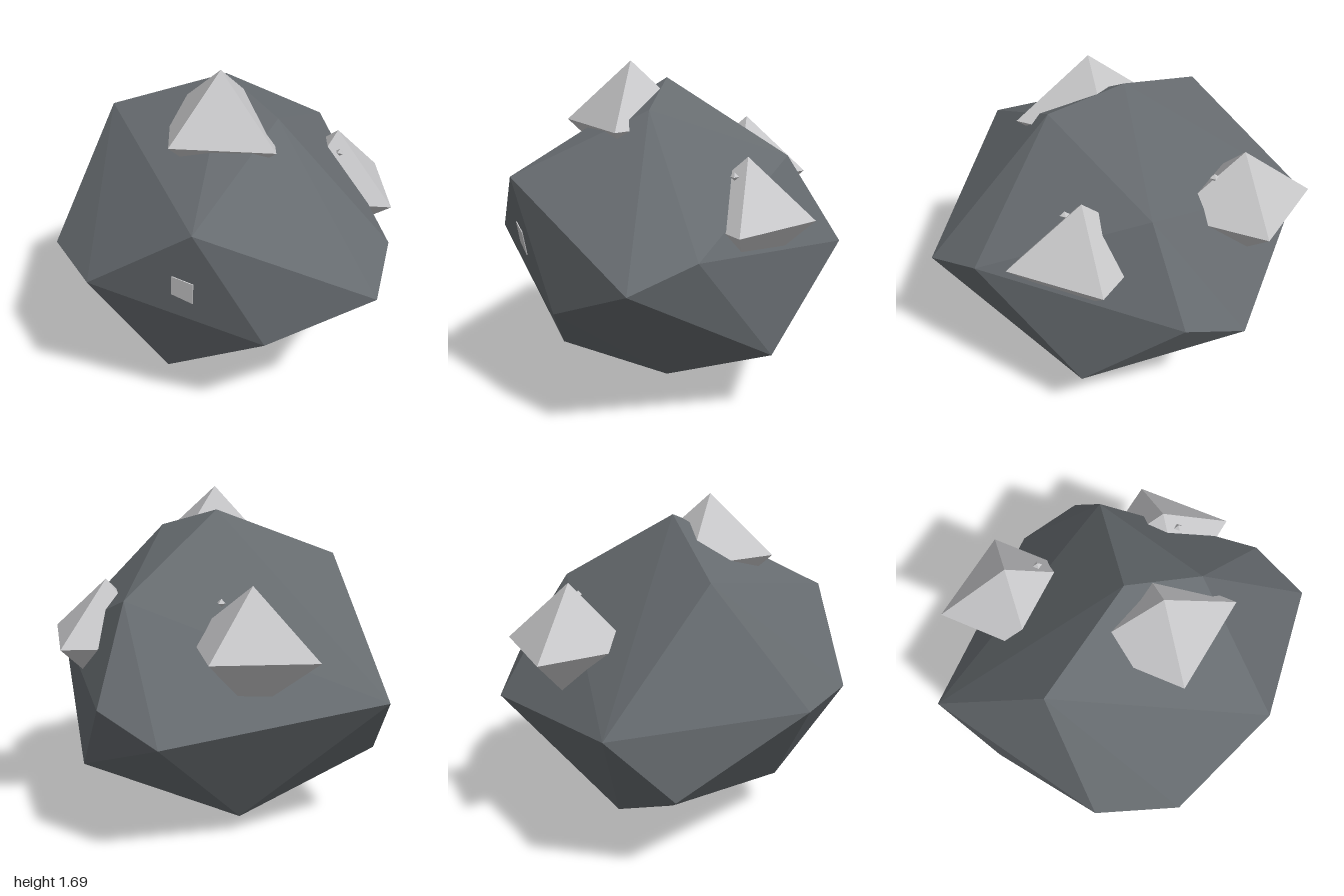
import * as THREE from 'three';
import { ConvexGeometry } from 'three/addons/geometries/ConvexGeometry.js';

export function createModel() {
  const model = new THREE.Group();
  model.name = 'oreBoulder';

  const rockGrey = new THREE.MeshStandardMaterial({ color: 0x666b6f, flatShading: true });
  rockGrey.name = 'rockGrey';
  const oreSilver = new THREE.MeshStandardMaterial({ color: 0xc6c6c8, flatShading: true });
  oreSilver.name = 'oreSilver';

  const add = (name, geometry, material) => {
    const mesh = new THREE.Mesh(geometry, material);
    mesh.name = name;
    model.add(mesh);
    return mesh;
  };

  // Boulder: the six tips of a squashed octahedron plus irregular corners between them
  const corners = [
    [1, 0.8, 0], [-1, 0.8, 0], [0, 1.6, 0], [0, 0, 0], [0, 0.8, 0.88], [0, 0.8, -0.88],
    [0.37, 1.49, 0.02], [-0.48, 1.39, 0.325], [0.5, 1.18, 0.66], [0.07, 1.24, -0.61],
    [0.7, 0.585, 0.41], [0.83, 0.91, -0.28], [-0.4, 0.8, 0.78], [-0.32, 0.67, -0.835],
    [-0.79, 0.45, 0.26], [0.14, 0.21, 0.53], [0.41, 0.33, -0.58], [-0.3, 0.1, -0.2],
  ].map((p) => new THREE.Vector3(...p));
  add('boulder', new ConvexGeometry(corners), rockGrey);

  // Ore crystals: octahedra half sunk into the rock, sharing its squash, and two tiny chips
  const crystals = [
    ['frontCrystal', 0.365, 0.13, 1.4, 0.155],
    ['backLeftCrystal', 0.365, 0.345, 0.99, -0.44],
    ['backRightCrystal', 0.365, -0.48, 1.05, -0.36],
    ['leftChip', 0.024, 0.41, 1.2, -0.385],
    ['rightChip', 0.024, -0.32, 1.245, -0.38],
  ];
  for (const [name, radius, x, y, z] of crystals) {
    const crystal = add(name, new THREE.OctahedronGeometry(radius), oreSilver);
    crystal.scale.set(1, 0.8, 0.88);
    crystal.position.set(x, y, z);
  }

  // Ore fleck: a thin sliver lying on the sloping front face
  const outline = [[0.38, 0.93], [0.36, 0.82], [0.44, 0.78], [0.46, 0.9]];
  const faceZ = (x, y) => 0.88 - 0.605 * x + 0.217 * (y - 0.8);
  const fleckPoints = outline.flatMap(([x, y]) =>
    [-0.003, 0.005].map((d) => new THREE.Vector3(x, y, faceZ(x, y) + d)));
  add('frontFleck', new ConvexGeometry(fleckPoints), oreSilver);

  return model;
}
